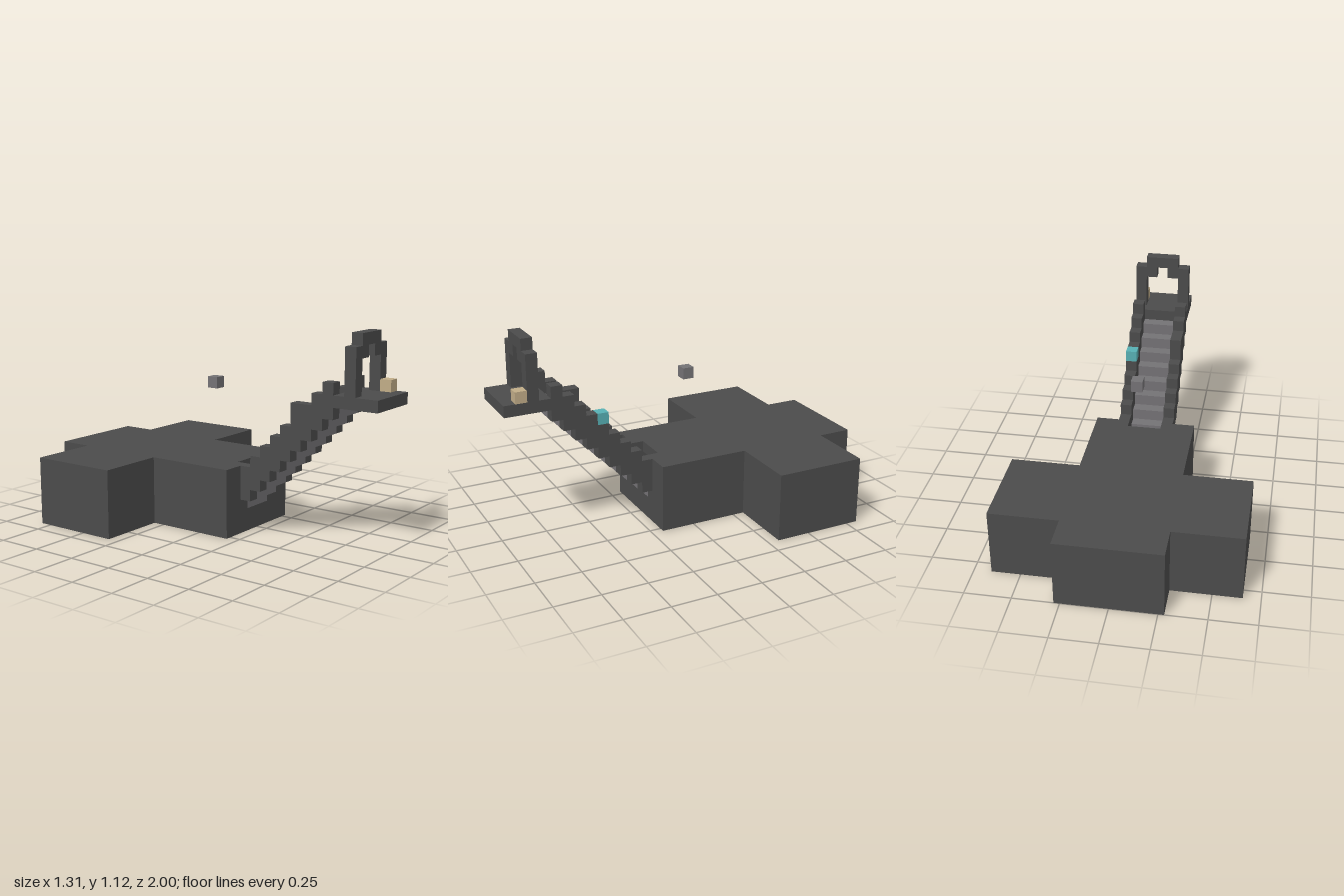
import * as THREE from 'three';

const U = 1 / 16; // one block

export function createModel() {
  const model = new THREE.Group();
  const material = (name, color) => {
    const m = new THREE.MeshStandardMaterial({ color });
    m.name = name;
    return m;
  };
  const dark = material('dark stone', 0x4b4b4b);
  const grey = material('grey stone', 0x747275);
  const tan = material('tan', 0xc0ac87);
  const teal = material('teal', 0x57b0b3);

  const group = (name) => {
    const g = new THREE.Group();
    g.name = name;
    model.add(g);
    return g;
  };
  // Box given by its limits in blocks
  const box = (parent, name, mat, x0, x1, y0, y1, z0, z1) => {
    const mesh = new THREE.Mesh(
      new THREE.BoxGeometry((x1 - x0) * U, (y1 - y0) * U, (z1 - z0) * U), mat);
    mesh.position.set((x0 + x1) / 2 * U, (y0 + y1) / 2 * U, (z0 + z1) / 2 * U);
    mesh.name = name;
    parent.add(mesh);
  };
  // Same box on both sides of x = 0
  const pair = (parent, name, mat, x0, x1, ...rest) => {
    box(parent, name + 'Left', mat, x0, x1, ...rest);
    box(parent, name + 'Right', mat, -x1, -x0, ...rest);
  };

  // Cross-shaped base with a stairwell cut into its front
  const base = group('base');
  box(base, 'mainHall', dark, -4.5, 4.5, 0, 6, -16, 0);
  pair(base, 'sideHall', dark, 4.5, 10.5, 0, 6, -13, -5);
  pair(base, 'stairwellWall', dark, 1.5, 4.5, 0, 6, 0, 3);
  for (let z = 0; z < 3; z++) {
    if (z > 0) box(base, 'stairwellFloor', dark, -1.5, 1.5, 0, z, z, z + 1);
    if (z < 2) box(base, 'stairwellRoof', dark, -1.5, 1.5, z + 4, 6, z, z + 1);
  }

  // Stairs with stepped rails
  const stairs = group('stairs');
  for (let z = 0; z < 12; z++) {
    box(stairs, 'tread', grey, -1.5, 1.5, z, z + 1, z, z + 1);
    if (z > 2) pair(stairs, 'rail', dark, 1.5, 2.5, z, z + 3, z, z + 1);
  }
  box(stairs, 'railBlock', dark, -2.5, -1.5, 11, 12, 8, 9);
  box(stairs, 'tealBlock', teal, 1.5, 2.5, 10, 11, 7, 8);

  // Landing with its arch
  const landing = group('landing');
  box(landing, 'platform', dark, -2.5, 2.5, 12, 13, 12, 16);
  pair(landing, 'archPillar', dark, 1.5, 2.5, 13, 17, 13, 14);
  pair(landing, 'archShoulder', dark, 0.5, 1.5, 16, 17, 13, 14);
  box(landing, 'archTop', dark, -1.5, 1.5, 17, 18, 13, 14);
  box(landing, 'tanBlock', tan, 1.5, 2.5, 13, 14, 14, 15);

  // Block floating over the base
  box(model, 'floatingBlock', grey, -0.5, 0.5, 12, 13, -2, -1);

  return model;
}
